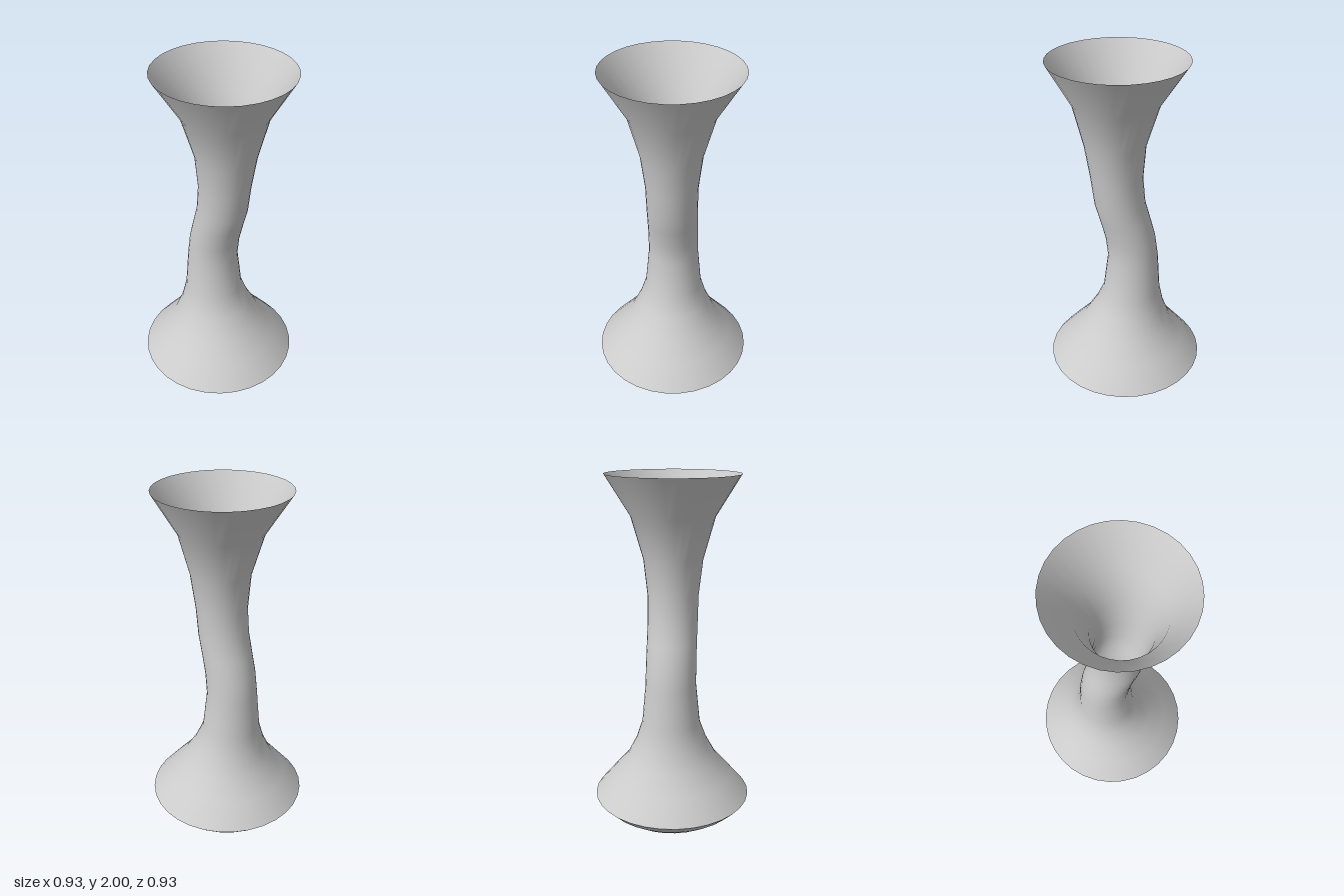
import * as THREE from 'three';

const SIDES = 32;

// Open tube through circular rings given as [y, radius, centreX], bottom to top
function ringTube(rings) {
  const positions = [];
  const index = [];
  for (const [y, r, cx] of rings) {
    for (let i = 0; i < SIDES; i++) {
      const a = (i / SIDES) * Math.PI * 2;
      positions.push(cx + r * Math.cos(a), y, r * Math.sin(a));
    }
  }
  for (let j = 0; j < rings.length - 1; j++) {
    for (let i = 0; i < SIDES; i++) {
      const k = (i + 1) % SIDES;
      const a = j * SIDES + i, b = j * SIDES + k;
      const c = a + SIDES, d = b + SIDES;
      index.push(a, c, b, b, c, d);
    }
  }
  const geometry = new THREE.BufferGeometry();
  geometry.setAttribute('position', new THREE.Float32BufferAttribute(positions, 3));
  geometry.setIndex(index);
  geometry.computeVertexNormals();
  return geometry;
}

export function createModel() {
  const group = new THREE.Group();
  group.name = 'vase';
  const grey = new THREE.MeshStandardMaterial({ color: 0xcccccc, side: THREE.DoubleSide });
  grey.name = 'light grey';

  const addPart = (name, rings) => {
    const mesh = new THREE.Mesh(ringTube(rings), grey);
    mesh.name = name;
    group.add(mesh);
  };

  // Rounded underside, open at the bottom
  addPart('foot', [
    [0, 0.34, 0], [0.05, 0.41, 0], [0.105, 0.465, 0],
  ]);

  // Skirt and swaying stem that flares into an open mouth
  addPart('body', [
    [0.105, 0.465, 0], [0.235, 0.358, -0.004], [0.34, 0.27, -0.01],
    [0.46, 0.21, -0.025], [0.58, 0.17, -0.04], [0.81, 0.148, -0.047],
    [0.94, 0.146, -0.031], [1.06, 0.145, 0], [1.17, 0.145, 0.03],
    [1.33, 0.147, 0.047], [1.53, 0.17, 0.055], [1.77, 0.237, 0.047],
    [2, 0.377, 0.037],
  ]);

  return group;
}
